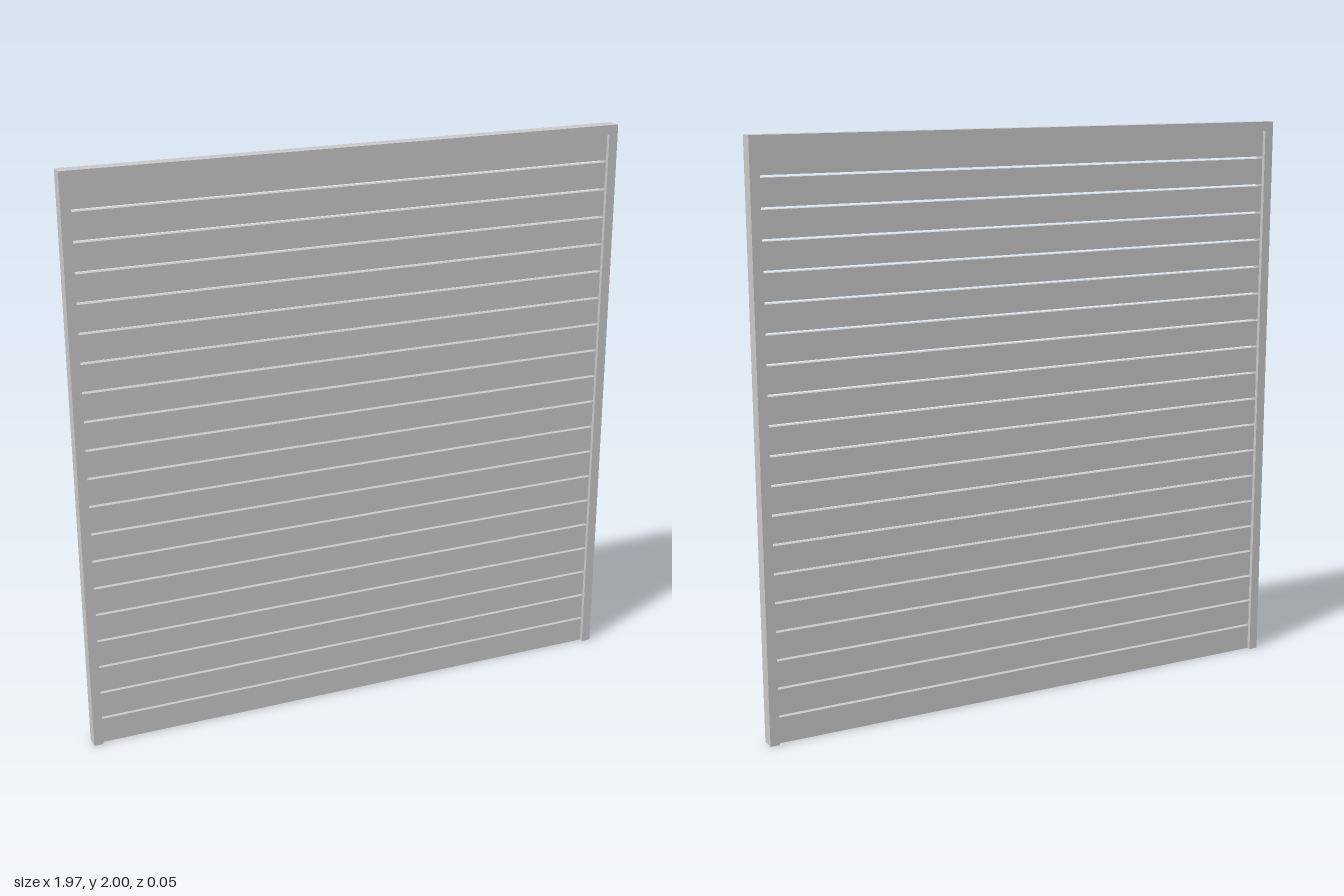
import * as THREE from 'three';

export function createModel() {
  const group = new THREE.Group();
  const material = new THREE.MeshStandardMaterial({ color: 0xcccccc, flatShading: true });
  const halfWidth = 0.985, height = 2, depth = 0.05, bar = 0.033;
  const innerX = halfWidth - bar, innerTop = height - bar;

  // U-shaped frame: two posts joined by a top rail, open at the bottom
  const outline = new THREE.Shape([
    [-halfWidth, 0], [-innerX, 0], [-innerX, innerTop], [innerX, innerTop],
    [innerX, 0], [halfWidth, 0], [halfWidth, height], [-halfWidth, height],
  ].map(([x, y]) => new THREE.Vector2(x, y)));
  const frameGeometry = new THREE.ExtrudeGeometry(outline, { depth, bevelEnabled: false });
  frameGeometry.translate(0, 0, -depth / 2);
  const frame = new THREE.Mesh(frameGeometry, material);
  frame.name = 'frame';
  group.add(frame);

  // Horizontal slats with narrow open gaps between them
  const count = 20, gap = 0.008;
  const slatHeight = (innerTop - gap * (count - 1)) / count;
  const slatGeometry = new THREE.BoxGeometry(innerX * 2, slatHeight, 0.022);
  const slats = new THREE.Group();
  slats.name = 'slats';
  for (let i = 0; i < count; i++) {
    const slat = new THREE.Mesh(slatGeometry, material);
    slat.name = `slat${i + 1}`;
    slat.position.y = slatHeight / 2 + i * (slatHeight + gap);
    slats.add(slat);
  }
  group.add(slats);
  return group;
}
